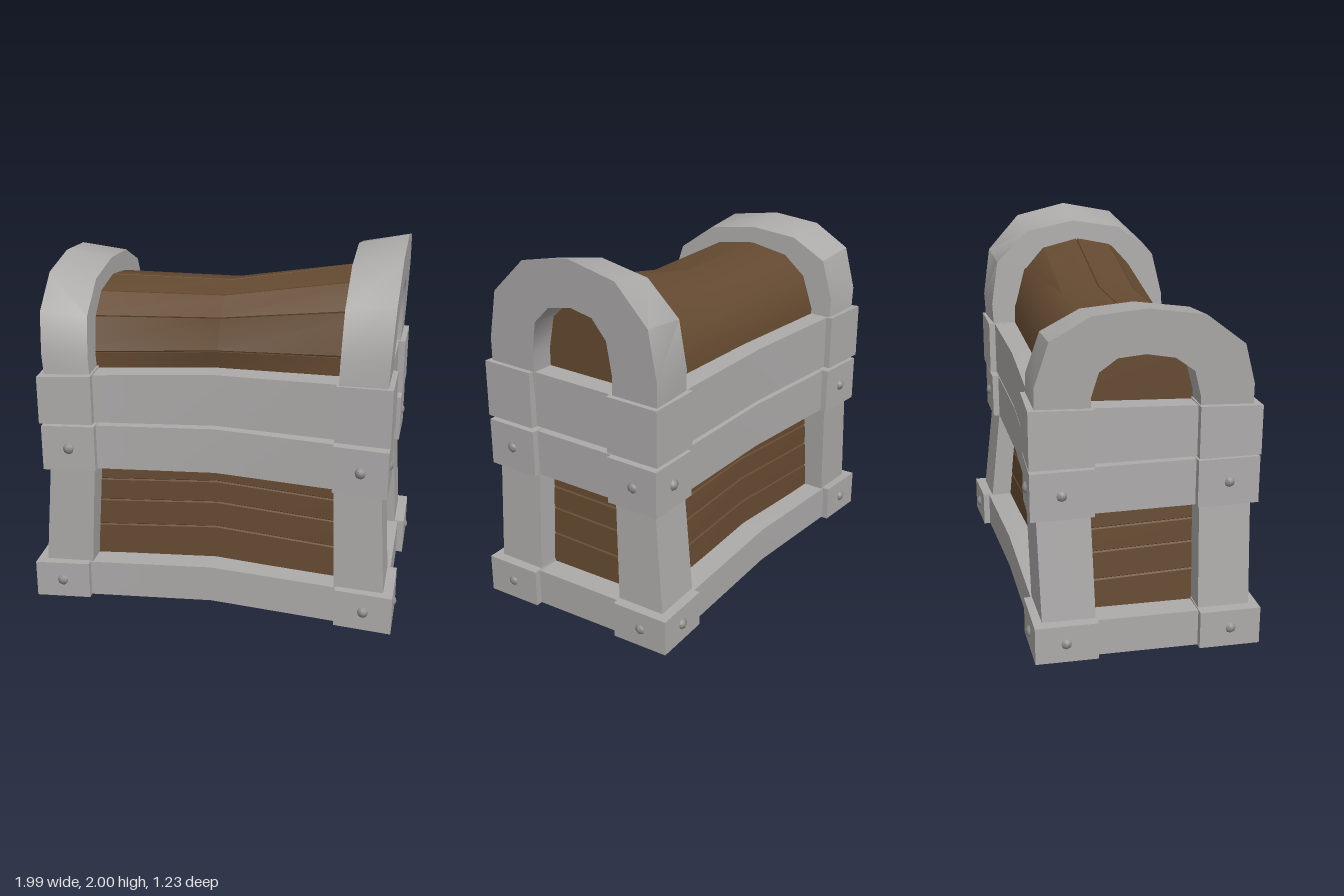
import * as THREE from 'three';
import { toCreasedNormals } from 'three/addons/utils/BufferGeometryUtils.js';

const stone = new THREE.MeshStandardMaterial({ color: 0xadabaa });
stone.name = 'grey metal';
const wood = new THREE.MeshStandardMaterial({ color: 0x654a31 });
wood.name = 'brown wood';
const stud = new THREE.MeshStandardMaterial({ color: 0x8f8f8f });
stud.name = 'dark grey studs';

const lerp = THREE.MathUtils.lerp;

// Skin a row of equal-sized rings, cap both ends, and make the faces point outward
function loft(rings, crease = 0.65) {
  const tris = [];
  const n = rings[0].length;
  for (let r = 0; r < rings.length - 1; r++) {
    for (let i = 0; i < n; i++) {
      const j = (i + 1) % n, A = rings[r], B = rings[r + 1];
      tris.push([A[i], A[j], B[j]], [A[i], B[j], B[i]]);
    }
  }
  const cap = (ring, flip) => {
    const c = [0, 1, 2].map(k => ring.reduce((s, p) => s + p[k], 0) / n);
    ring.forEach((p, i) => {
      const q = ring[(i + 1) % n];
      tris.push(flip ? [c, q, p] : [c, p, q]);
    });
  };
  cap(rings[0], true);
  cap(rings[rings.length - 1], false);
  let volume = 0;
  const v = p => new THREE.Vector3(...p);
  const o = v(rings[0][0]);
  for (const [a, b, c] of tris) volume += v(a).sub(o).dot(v(b).sub(o).cross(v(c).sub(o)));
  if (volume < 0) tris.forEach(t => t.reverse());
  const g = new THREE.BufferGeometry();
  g.setAttribute('position', new THREE.Float32BufferAttribute(tris.flat(2), 3));
  return toCreasedNormals(g, crease);
}

// Bands: corners run front -x, front +x, back -x, back +x as [x, z, bottom, top]
const bands = {
  base: { c: [[-0.98, 0.59, 0, 0.205], [0.975, 0.595, 0, 0.21], [-0.98, -0.595, 0.05, 0.25], [0.97, -0.585, 0.05, 0.245]],
    rise: 0.05, pinch: [0.02, 0.01] },
  body: { c: [[-0.905, 0.58, 0.768, 1.018], [0.92, 0.58, 0.768, 1.023], [-0.905, -0.592, 0.79, 1.04], [0.92, -0.5, 0.78, 1.03]],
    rise: 0.016, pinch: [0.07, 0.02] },
  lid: { c: [[-0.915, 0.58, 1.03, 1.29], [0.925, 0.58, 1.048, 1.355], [-0.915, -0.595, 1.06, 1.36], [0.925, -0.51, 1.058, 1.355]],
    rise: 0.013, pinch: [0.07, 0.02] },
};

// Point on a band: u runs along x, v from front to back; the middle rises and pinches in
function at(band, u, v) {
  const [x, z, b, t] = [0, 1, 2, 3].map(k =>
    lerp(lerp(band.c[0][k], band.c[1][k], u), lerp(band.c[2][k], band.c[3][k], u), v));
  const m = 1 - Math.abs(2 * u - 1);
  return { x, z: z + m * (band.pinch[1] * v - band.pinch[0] * (1 - v)), b: b + m * band.rise, t: t + m * band.rise };
}

export function createModel() {
  const model = new THREE.Group();
  model.name = 'chest';
  const add = (name, geo, mat) => {
    const mesh = new THREE.Mesh(geo, mat);
    mesh.name = name;
    model.add(mesh);
    return mesh;
  };

  // Corner blocks, rails and half-sunk studs of the three bands
  const studGeo = new THREE.SphereGeometry(0.034, 8, 6);
  for (const [name, band] of Object.entries(bands)) {
    for (const u of [0, 1]) for (const v of [0, 1]) {
      const sx = u ? -1 : 1, sz = v ? 1 : -1;
      const plan = [[0, 0], [0.155, 0], [0.155, 0.275], [0, 0.275]]
        .map(([du, dv]) => at(band, u + sx * du, v - sz * dv));
      add(name + 'CornerBlock', loft([plan.map(p => [p.x, p.b, p.z]), plan.map(p => [p.x, p.t, p.z])]), stone);
      if (name === 'lid') continue;
      const f = at(band, u + sx * 0.077, v), s = at(band, u, v - sz * 0.135);
      add(name + 'Stud', studGeo, stud).position.set(f.x, (f.b + f.t) / 2, f.z + sz * 0.013);
      add(name + 'Stud', studGeo, stud).position.set(s.x + sx * 0.018, (s.b + s.t) / 2, s.z);
    }
    const section = (p, dx, dz) => [[0.035, p.b + 0.002], [0.035, p.t - 0.003], [0.18, p.t - 0.003], [0.18, p.b + 0.002]]
      .map(([d, y]) => [p.x + dx * d, y, p.z + dz * d]);
    for (const e of [0, 1]) {
      const s = e ? -1 : 1;
      add(name + 'LongRail', loft([0.13, 0.5, 0.87].map(u => section(at(band, u, e), 0, -s))), stone);
      add(name + 'EndRail', loft([0.25, 0.75].map(v => section(at(band, e, v), s, 0))), stone);
    }
  }

  // Floor plate
  add('floor', loft([0.03, 0.5, 0.97].map(u => {
    const f = at(bands.base, u, 0.04), k = at(bands.base, u, 0.96);
    return [[f.x, f.b + 0.003, f.z], [f.x, f.b + 0.1, f.z], [k.x, k.b + 0.1, k.z], [k.x, k.b + 0.003, k.z]];
  })), stone);

  // Leaning corner posts
  for (const u of [0, 1]) for (const v of [0, 1]) {
    const sx = u ? -1 : 1, sz = v ? 1 : -1;
    const ring = (p, y, inset, w, d) => [[0, 0], [w, 0], [w, d], [0, d]]
      .map(([a, b]) => [p.x + sx * (inset + a), y, p.z + sz * (inset + b)]);
    const p = at(bands.base, u, v), q = at(bands.body, u, v);
    add('cornerPost', loft([ring(p, p.t - 0.06, 0.048, 0.262, 0.275),
      ring(q, q.b + 0.06, 0.033, 0.245, u && v ? 0.242 : 0.272)]), stone);
  }

  // Planked body: rings stacked upward, with a groove at each seam
  const bodyRing = (y, groove) => {
    const k = (y - 0.1) / 0.9, inset = 0.155 + groove;
    return [[0, 0], [0.5, 0], [1, 0], [1, 1], [0.5, 1], [0, 1]].map(([u, v]) => {
      const p = at(bands.base, u, v), q = at(bands.body, u, v);
      const dx = u === 0.5 ? 0 : (u ? -inset : inset), dz = v ? inset : -inset;
      return [lerp(p.x, q.x, k) + dx, y + (u === 0.5 ? lerp(0.06, 0.015, k) : 0), lerp(p.z, q.z, k) + dz];
    });
  };
  const levels = [bodyRing(0.1, 0)];
  for (const y of [0.385, 0.535, 0.66])
    levels.push(bodyRing(y - 0.006, 0), bodyRing(y, 0.009), bodyRing(y + 0.006, 0));
  levels.push(bodyRing(1, 0));
  add('bodyPlanks', loft(levels, 0.3), wood);

  // Barrel lid: grooved planks at the front, smooth at the back
  const half = [[1, 0], [0.98, 0.47], [0.82, 0.77], [0.52, 0.94], [0, 1]];
  const arc = [...half, ...half.slice(0, 4).reverse().map(([s, h]) => [-s, h])];
  const profile = [];
  arc.forEach((p, i) => {
    if (i < 1 || i > 4) return profile.push(p);
    const toward = (q, k) => [lerp(p[0], q[0], k), lerp(p[1], q[1], k)];
    profile.push(toward(arc[i - 1], 0.02), [p[0] * 0.984, p[1] * 0.984], toward(arc[i + 1], 0.02));
  });
  const stations = [[-0.775, 0.42, -0.45, 1.1, 1.7], [0, 0.365, -0.4, 1.17, 1.705], [0.775, 0.41, -0.36, 1.1, 1.855]];
  add('lidPlanks', loft(stations.map(([x, zf, zb, low, top]) => profile.map(([s, h]) =>
    [x, h ? lerp(low, top, h) : 1.065, (zf + zb) / 2 + s * (zf - zb) / 2]))), wood);

  // Arched end hoops: outer and inner outlines as [z, y]
  const hoops = [
    { side: 1, drop: 0.06, x: [0.65, 0.67, 0.893, 0.927],
      out: [[0.56, 1.25], [0.55, 1.48], [0.49, 1.745], [0.285, 1.94], [0, 2], [-0.28, 1.94], [-0.46, 1.745], [-0.5, 1.48], [-0.49, 1.25]],
      hole: [[0.27, 1.25], [0.27, 1.45], [0.235, 1.63], [0.14, 1.725], [0, 1.755], [-0.13, 1.73], [-0.21, 1.63], [-0.235, 1.45], [-0.22, 1.25]] },
    { side: -1, drop: 0.03, x: [0.635, 0.675, 0.88, 0.93],
      out: [[0.54, 1.2], [0.535, 1.4], [0.475, 1.61], [0.27, 1.77], [-0.02, 1.82], [-0.29, 1.8], [-0.49, 1.69], [-0.56, 1.47], [-0.56, 1.2]],
      hole: [[0.27, 1.2], [0.26, 1.36], [0.225, 1.49], [0.125, 1.565], [-0.02, 1.595], [-0.16, 1.585], [-0.25, 1.52], [-0.285, 1.4], [-0.29, 1.2]] },
  ];
  for (const { side, drop, x, out, hole } of hoops) {
    const [y0, y1] = [out[0][1], out[4][1]];
    const place = ([z, y], inner) => {
      const k = (y - y0) / (y1 - y0);
      const px = inner ? lerp(x[0], x[1], k) : lerp(x[2], x[3], k);
      return [side * px, inner ? y - drop * k * k : y, inner ? z * 0.985 : z];
    };
    add('endHoop', loft(out.map((p, i) => [place(p), place(hole[i]), place(hole[i], true), place(p, true)])), stone);
  }
  return model;
}
